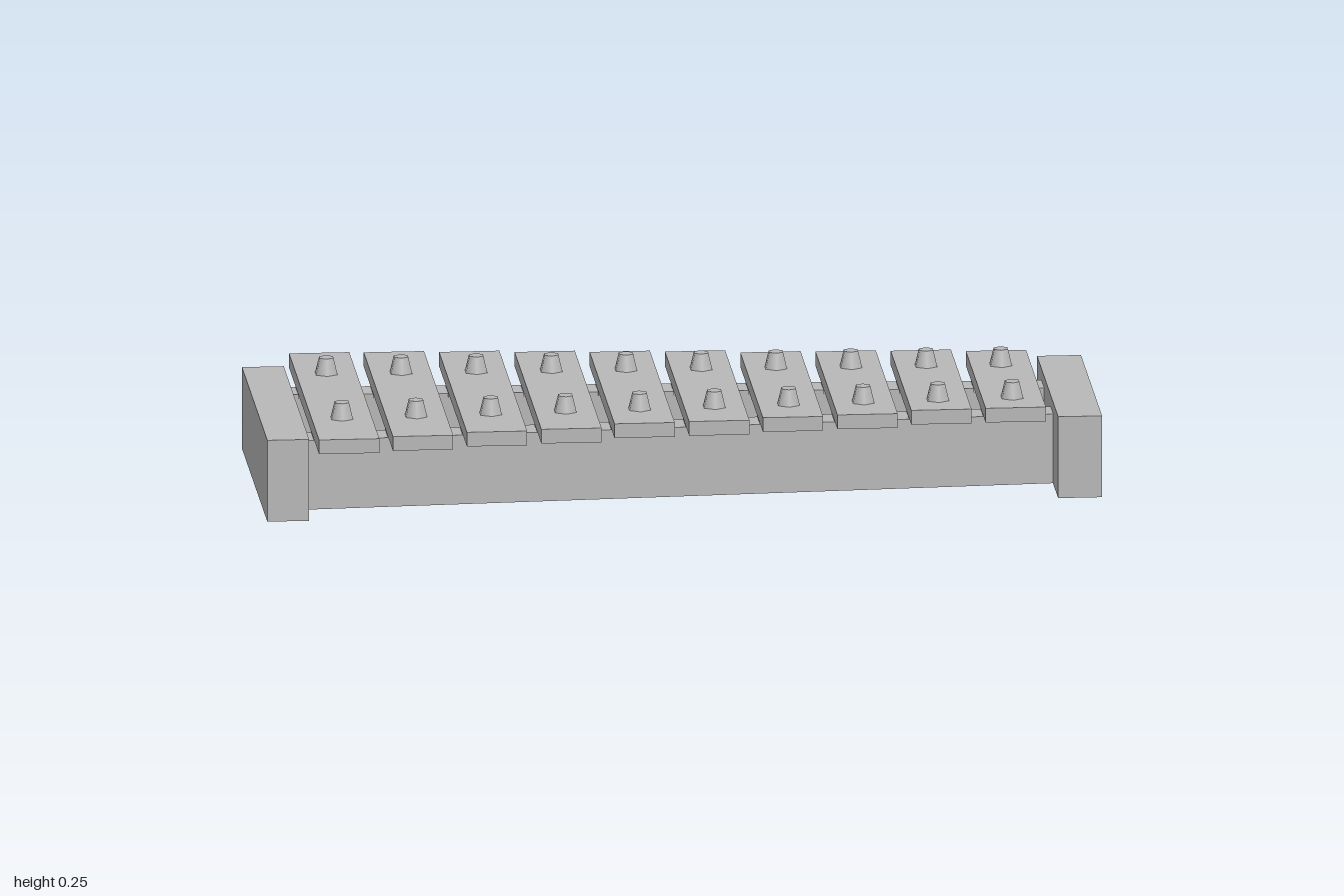
import * as THREE from 'three';

const grey = new THREE.MeshStandardMaterial({ color: 0xb8b8b8 });
grey.name = 'plain grey';

export function createModel() {
  const model = new THREE.Group();
  model.name = 'xylophone';

  const add = (name, geometry) => {
    const mesh = new THREE.Mesh(geometry, grey);
    mesh.name = name;
    model.add(mesh);
  };

  // Box given by its limits on each axis
  const box = (name, x0, x1, y0, y1, z0, z1) => {
    const g = new THREE.BoxGeometry(x1 - x0, y1 - y0, z1 - z0);
    g.translate((x0 + x1) / 2, (y0 + y1) / 2, (z0 + z1) / 2);
    add(name, g);
  };

  // Upright slab from a plan outline of [x, z] corners
  const slab = (name, plan, y0, y1) => {
    const shape = new THREE.Shape(plan.map(([x, z]) => new THREE.Vector2(x, -z)));
    const g = new THREE.ExtrudeGeometry(shape, { depth: y1 - y0, bevelEnabled: false });
    g.rotateX(-Math.PI / 2);
    g.translate(0, y0, 0);
    add(name, g);
  };

  // Centre lines of the two converging rails
  const along = (a, b) => (x) => a + ((b - a) * (x + 0.9)) / 1.8;
  const backLine = along(-0.227, -0.135);
  const frontLine = along(0.21, 0.113);
  const half = 0.037;

  // End blocks
  box('wideEndBlock', -1, -0.9, 0, 0.2, -0.353, 0.345);
  box('narrowEndBlock', 0.895, 1, 0, 0.2, -0.295, 0.285);

  // Rails
  for (const [name, line] of [['backRail', backLine], ['frontRail', frontLine]]) {
    slab(name, [
      [-0.9, line(-0.9) - half], [-0.9, line(-0.9) + half],
      [0.9, line(0.9) + half], [0.9, line(0.9) - half],
    ], 0.002, 0.172);
  }

  // Plate closing the narrow half between the rails
  slab('innerPlate', [
    [0.15, backLine(0.15)], [0.15, frontLine(0.15)],
    [0.9, frontLine(0.9)], [0.9, backLine(0.9)],
  ], 0.07, 0.085);

  // Sound bars: centre x, back z, front z
  const bars = [
    [-0.81, -0.415, 0.41], [-0.632, -0.41, 0.393], [-0.453, -0.398, 0.368],
    [-0.274, -0.382, 0.355], [-0.096, -0.367, 0.318], [0.083, -0.355, 0.312],
    [0.261, -0.331, 0.291], [0.44, -0.324, 0.28], [0.619, -0.316, 0.252],
    [0.797, -0.298, 0.248],
  ];
  bars.forEach(([x, back, front], i) => {
    box('soundBar' + (i + 1), x - 0.072, x + 0.072, 0.18, 0.215, back, front);
    const t = i / (bars.length - 1);
    const pegZ = [-0.218 + 0.055 * t, 0.208 - 0.06 * t];
    [backLine(x), frontLine(x)].forEach((z, k) => {
      // Pad between rail and bar
      box('pad', x - 0.07, x + 0.07, 0.163, 0.181, z - half, z + half);
      // Tapered peg
      const peg = new THREE.CylinderGeometry(0.019, 0.03, 0.042, 6);
      peg.translate(x, 0.234, pegZ[k]);
      add('peg', peg);
    });
  });

  return model;
}
